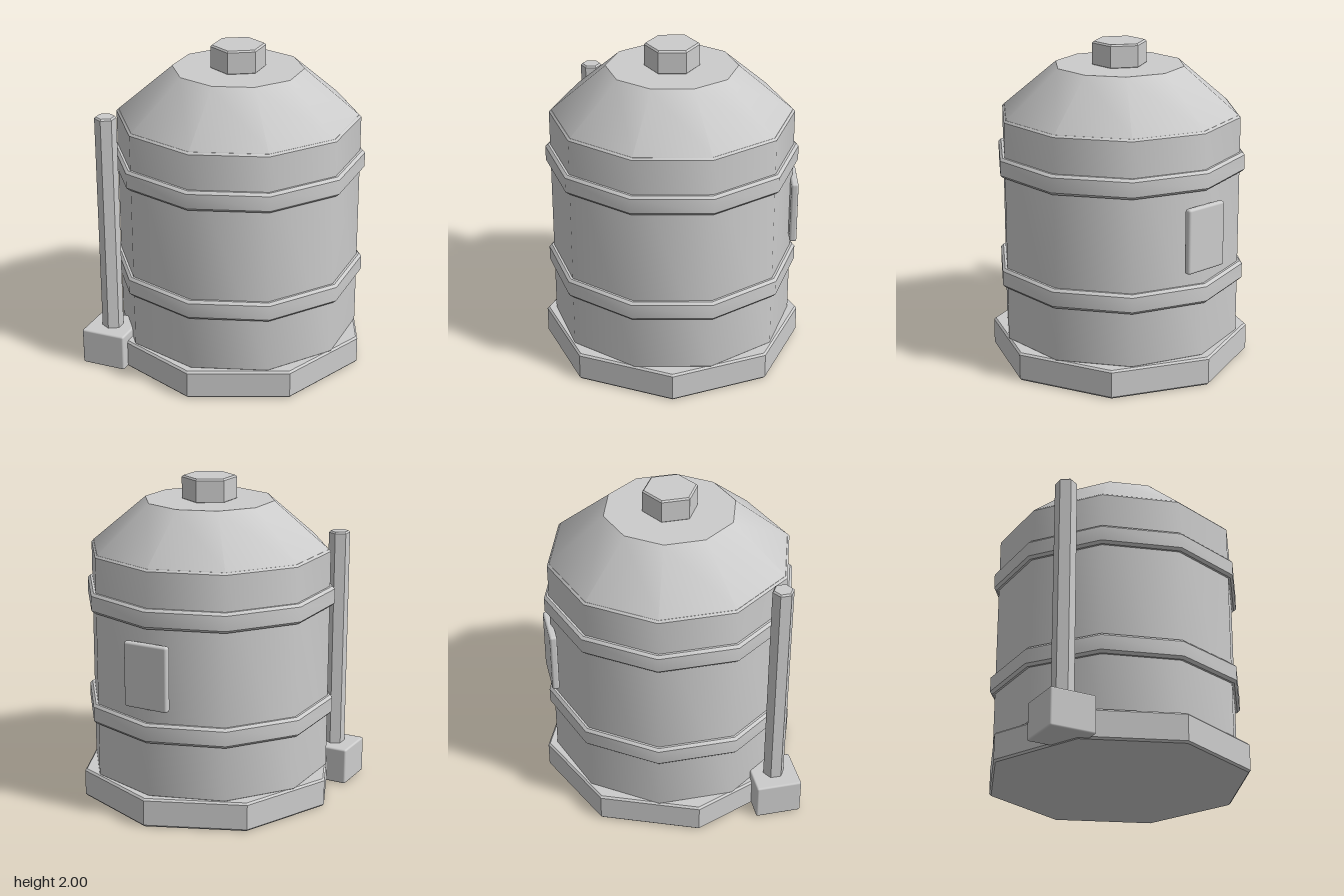
import * as THREE from 'three';
import { toCreasedNormals } from 'three/addons/utils/BufferGeometryUtils.js';
import { RoundedBoxGeometry } from 'three/addons/geometries/RoundedBoxGeometry.js';

export function createModel() {
  const model = new THREE.Group();
  model.name = 'storageTank';
  const grey = new THREE.MeshStandardMaterial({ color: 0xcccccc });
  grey.name = 'plain grey';

  function add(name, geometry, x = 0, y = 0, z = 0) {
    const mesh = new THREE.Mesh(geometry, grey);
    mesh.name = name;
    mesh.position.set(x, y, z);
    model.add(mesh);
    return mesh;
  }

  // Closed prism or frustum with bevelled rims; one corner points to +z.
  // A crease angle wider than the side angle gives smoothly shaded sides.
  function prism(sides, y0, y1, r0, r1, bevel, crease) {
    const slope = (r1 - r0) / (y1 - y0);
    const profile = [
      [0, y0],
      [r0 - bevel, y0],
      [r0 + slope * bevel, y0 + bevel],
      [r1 - slope * bevel, y1 - bevel],
      [r1 - slope * bevel - bevel, y1],
      [0, y1],
    ].map(([r, y]) => new THREE.Vector2(r, y));
    return toCreasedNormals(new THREE.LatheGeometry(profile, sides), crease);
  }
  const SMOOTH = 0.7;
  const FLAT = 0.3;

  // Octagonal foundation
  add('base', prism(8, 0, 0.18, 0.81, 0.81, 0.012, FLAT));

  // Ten-sided tank with two hoops
  add('tankBody', prism(10, 0.17, 1.57, 0.75, 0.75, 0.012, SMOOTH));
  for (const [name, y] of [['lowerHoop', 0.52], ['upperHoop', 1.22]]) {
    add(name, prism(10, y, y + 0.122, 0.78, 0.78, 0.016, SMOOTH));
  }

  // Sloping roof with a hexagonal cap
  add('roof', prism(10, 1.565, 1.857, 0.745, 0.4, 0.008, SMOOTH));
  add('roofCap', prism(6, 1.85, 2, 0.168, 0.168, 0.01, FLAT));

  // Hatch on the back
  add('backHatch', new RoundedBoxGeometry(0.29, 0.4, 0.045, 2, 0.015), 0, 0.93, -0.755);

  // Pipe standing on its block, at the front right corner
  add('pipeBlock', new RoundedBoxGeometry(0.285, 0.23, 0.285, 2, 0.012), -0.642, 0.12, 0.52);
  add('pipe', prism(6, 0.22, 1.625, 0.066, 0.066, 0.01, FLAT), -0.64, 0, 0.52);

  return model;
}
